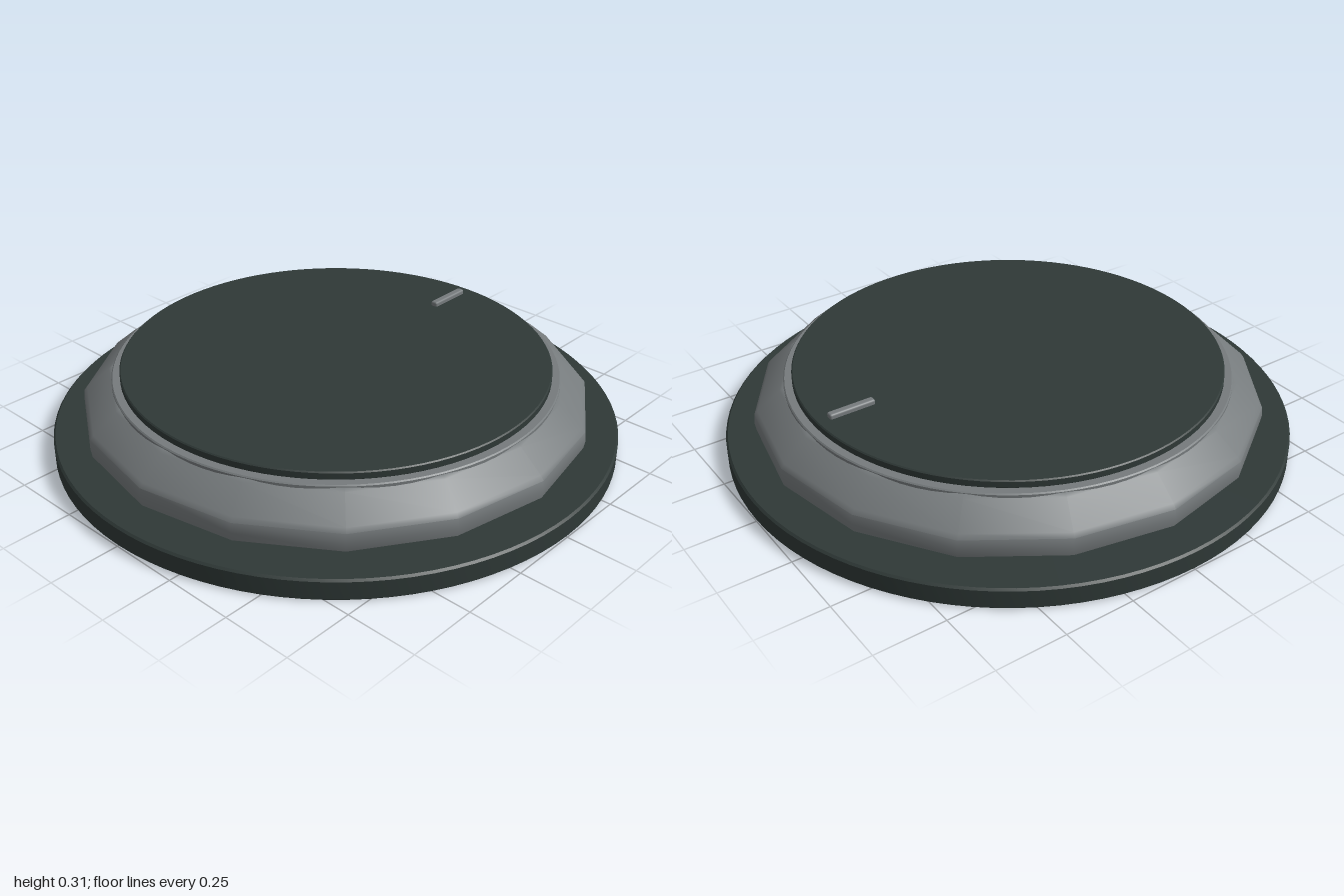
import * as THREE from 'three';
import { toCreasedNormals } from 'three/addons/utils/BufferGeometryUtils.js';
import { RoundedBoxGeometry } from 'three/addons/geometries/RoundedBoxGeometry.js';

// Revolves a profile of [radius, height] pairs, listed from bottom to top.
function turned(name, profile, sides, material) {
  const points = profile.map(([r, y]) => new THREE.Vector2(r, y));
  const geometry = toCreasedNormals(new THREE.LatheGeometry(points, sides), 0.6);
  const mesh = new THREE.Mesh(geometry, material);
  mesh.name = name;
  return mesh;
}

// Closed disc with a small chamfer on both rims.
function disc(name, radius, bottom, top, bevel, material) {
  return turned(name, [
    [0, bottom], [radius - bevel, bottom], [radius, bottom + bevel],
    [radius, top - bevel], [radius - bevel, top], [0, top],
  ], 96, material);
}

export function createModel() {
  const dark = new THREE.MeshStandardMaterial({ color: 0x2f3937 });
  dark.name = 'dark slate';
  const grey = new THREE.MeshStandardMaterial({ color: 0x767b7d });
  grey.name = 'metal grey';

  const dial = new THREE.Group();
  dial.name = 'dial';

  // Wide mounting plate
  dial.add(disc('basePlate', 1, 0, 0.077, 0.007, dark));

  // Sixteen-sided grip with a sloping shoulder
  dial.add(turned('grip', [
    [0, 0.075], [0.83, 0.075], [0.87, 0.083], [0.892, 0.1], [0.897, 0.13],
    [0.894, 0.165], [0.882, 0.18], [0.8, 0.25], [0.788, 0.257], [0.76, 0.261], [0, 0.261],
  ], 16, grey));

  // Round collar that just breaks through the flats of the grip
  dial.add(disc('collar', 0.785, 0.235, 0.264, 0.004, grey));

  // Dark cap
  dial.add(disc('cap', 0.755, 0.262, 0.291, 0.004, dark));

  // Raised pointer mark near the back rim
  const pointer = new THREE.Mesh(new RoundedBoxGeometry(0.028, 0.024, 0.168, 2, 0.007), grey);
  pointer.name = 'pointer';
  pointer.position.set(0, 0.296, -0.627);
  dial.add(pointer);

  return dial;
}
